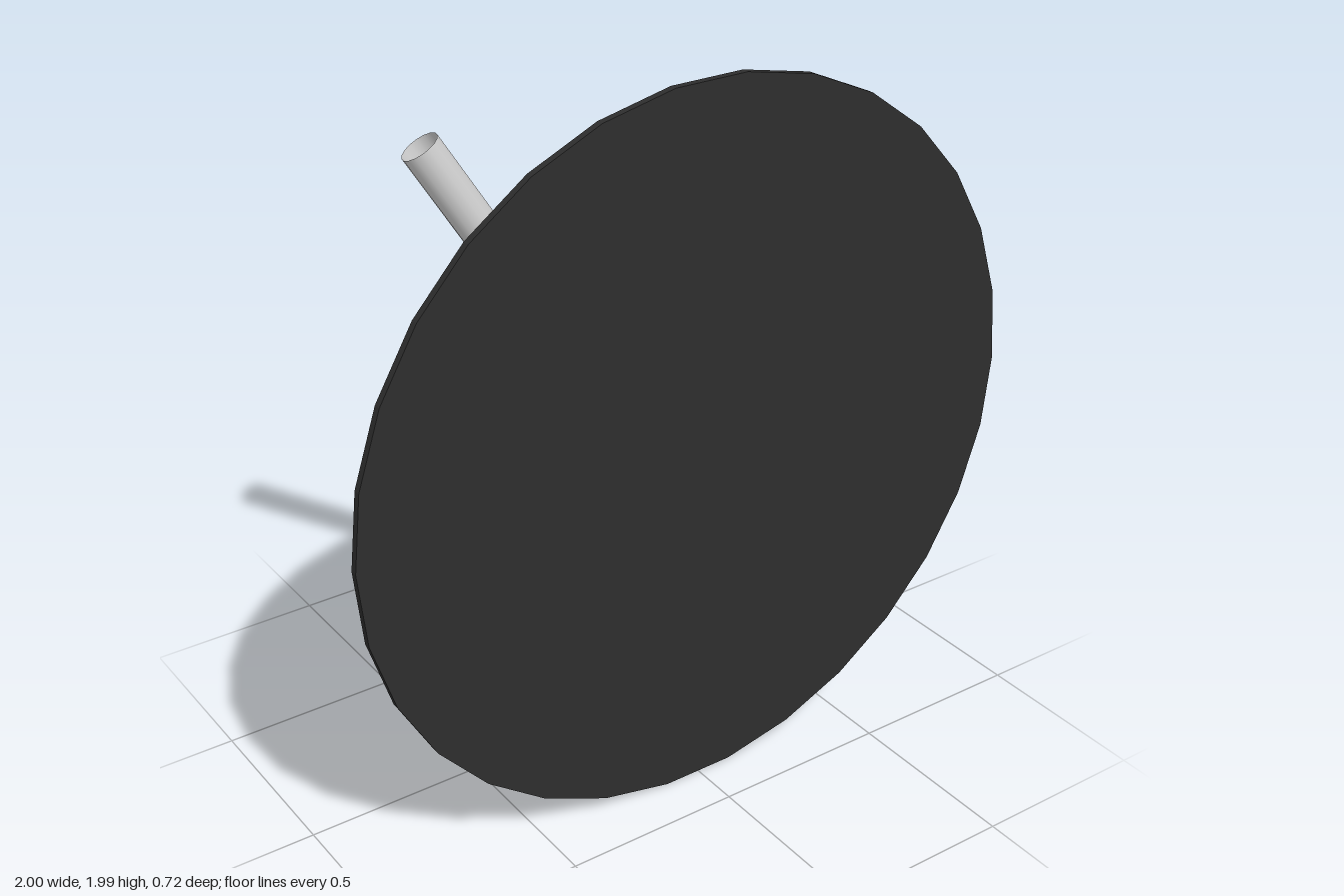
import * as THREE from 'three';

const CENTER_Y = 0.9945;
const TUBE_RADIUS = 0.055;

const grey = new THREE.MeshStandardMaterial({ color: 0xcccccc, side: THREE.DoubleSide });
const black = new THREE.MeshStandardMaterial({ color: 0x2d2d2d, flatShading: true });

// Open-ended tube running between two points
function tube(name, from, to) {
  const axis = to.clone().sub(from);
  const geometry = new THREE.CylinderGeometry(TUBE_RADIUS, TUBE_RADIUS, axis.length(), 16, 1, true);
  const mesh = new THREE.Mesh(geometry, grey);
  mesh.name = name;
  mesh.position.copy(from).add(to).multiplyScalar(0.5);
  mesh.quaternion.setFromUnitVectors(new THREE.Vector3(0, 1, 0), axis.normalize());
  return mesh;
}

export function createModel() {
  const model = new THREE.Group();
  model.name = 'discOnTripod';

  // Round top: flat front, thin rim, bevelled back
  const profile = [[0, 0.305], [0.66, 0.305], [1, 0.34], [1, 0.36], [0, 0.36]]
    .map(([r, z]) => new THREE.Vector2(r, z));
  const discGeometry = new THREE.LatheGeometry(profile, 30, Math.PI / 2);
  discGeometry.rotateX(Math.PI / 2);
  const disc = new THREE.Mesh(discGeometry, black);
  disc.name = 'disc';
  disc.position.y = CENTER_Y;
  model.add(disc);

  // Square mounting plate on the back of the disc
  const plate = new THREE.Mesh(new THREE.BoxGeometry(0.335, 0.335, 0.008), grey);
  plate.name = 'mountingPlate';
  plate.position.set(0, CENTER_Y, 0.304);
  model.add(plate);

  // Central stem from plate to hub
  const hub = new THREE.Vector3(0, CENTER_Y, -0.145);
  model.add(tube('stem', new THREE.Vector3(0, CENTER_Y, 0.303), hub));

  // Three legs splayed evenly around the stem
  const legs = new THREE.Group();
  legs.name = 'legs';
  for (let i = 0; i < 3; i++) {
    const angle = (i * Math.PI * 2) / 3;
    const foot = new THREE.Vector3(0.825 * Math.cos(angle), CENTER_Y + 0.825 * Math.sin(angle), -0.308);
    legs.add(tube('leg' + (i + 1), hub, foot));
  }
  model.add(legs);

  return model;
}
